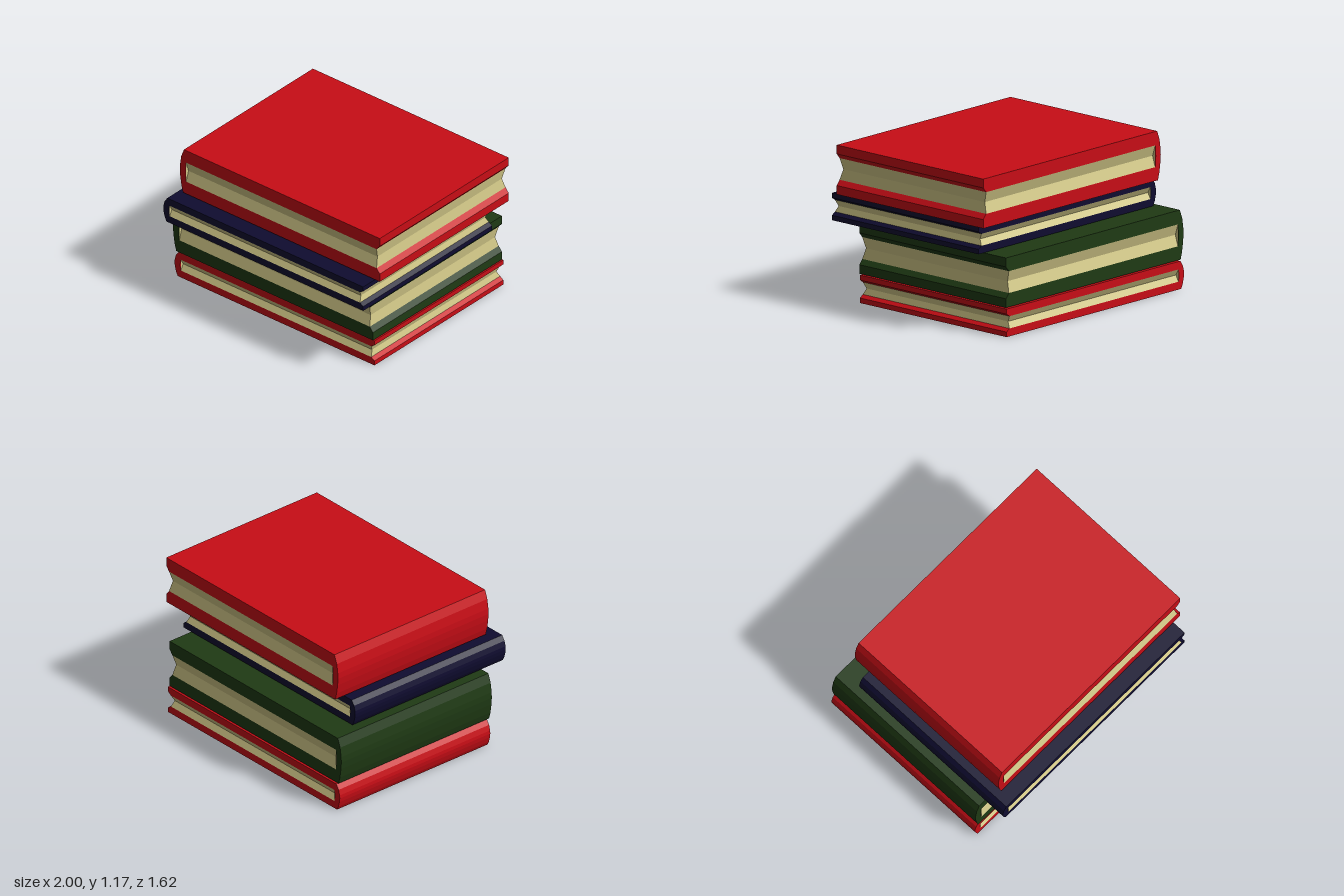
import * as THREE from 'three';

const LENGTH = 1.86; // spine to fore edge
const WIDTH = 1.41; // along the spine
const PAPER = 0xd2c888;

// Wrap-around cover: C-shaped section with a rounded spine and chamfered fore edges
function coverGeometry(h) {
  const section = [
    [0.03, 0], [LENGTH, 0], [LENGTH, 0.18], [LENGTH - 0.03, 0.28], // lower board
    [0.058, 0.28], [0.052, 0.5], [0.058, 0.72], // inside of spine
    [LENGTH - 0.03, 0.72], [LENGTH, 0.82], [LENGTH, 1], [0.038, 1], // upper board
    [0.013, 0.82], [0.002, 0.62], [0, 0.5], [0.004, 0.35], [0.015, 0.15], // outside of spine
  ];
  const shape = new THREE.Shape(section.map(([x, y]) => new THREE.Vector2(x, y * h)));
  return new THREE.ExtrudeGeometry(shape, { depth: WIDTH, bevelEnabled: false });
}

// Page block: three rectangular loops, the middle one pinched inwards
function pagesGeometry(h) {
  const loops = [[0.28, 0, 0], [0.5, 0.025, 0.013], [0.72, 0, 0]].map(([y, dz, dx]) => {
    const left = 0.054, right = LENGTH - 0.03 - dx;
    return [[left, y * h, WIDTH - dz], [right, y * h, WIDTH - dz], [right, y * h, dz], [left, y * h, dz]];
  });
  const points = [];
  for (let i = 0; i < 2; i++) {
    for (let j = 0; j < 3; j++) {
      const a = loops[i][j], b = loops[i][j + 1];
      const c = loops[i + 1][j + 1], d = loops[i + 1][j];
      points.push(...a, ...b, ...c, ...a, ...c, ...d);
    }
  }
  const geometry = new THREE.BufferGeometry();
  geometry.setAttribute('position', new THREE.Float32BufferAttribute(points, 3));
  geometry.computeVertexNormals();
  return geometry;
}

function createBook({ name, color, x, y, z, h }) {
  const book = new THREE.Group();
  book.name = name;
  const add = (part, geometry, tint) => {
    const material = new THREE.MeshStandardMaterial({ color: tint, flatShading: true, side: THREE.DoubleSide });
    const mesh = new THREE.Mesh(geometry, material);
    mesh.name = part;
    book.add(mesh);
    return mesh;
  };
  add('cover', coverGeometry(h), color);
  add('pages', pagesGeometry(h), PAPER);

  // Paper lining behind the pages, seen through the pinched ends
  const lining = add('spineLining', new THREE.PlaneGeometry(WIDTH, h * 0.44), PAPER);
  lining.rotation.y = Math.PI / 2;
  lining.position.set(0.059, h * 0.5, WIDTH / 2);

  book.position.set(x, y, z);
  return book;
}

export function createModel() {
  const stack = new THREE.Group();
  stack.name = 'bookStack';
  // x is the spine edge, z the back edge and h the thickness of each book
  const books = [
    { name: 'bottomRedBook', color: 0xc80d16, x: -0.995, y: 0, z: -0.81, h: 0.205 },
    { name: 'greenBook', color: 0x1f3a14, x: -1, y: 0.212, z: -0.8, h: 0.365 },
    { name: 'navyBook', color: 0x0f0c30, x: -0.925, y: 0.584, z: -0.605, h: 0.2 },
    { name: 'topRedBook', color: 0xc80d16, x: -0.86, y: 0.804, z: -0.71, h: 0.362 },
  ];
  books.forEach((b) => stack.add(createBook(b)));
  return stack;
}
